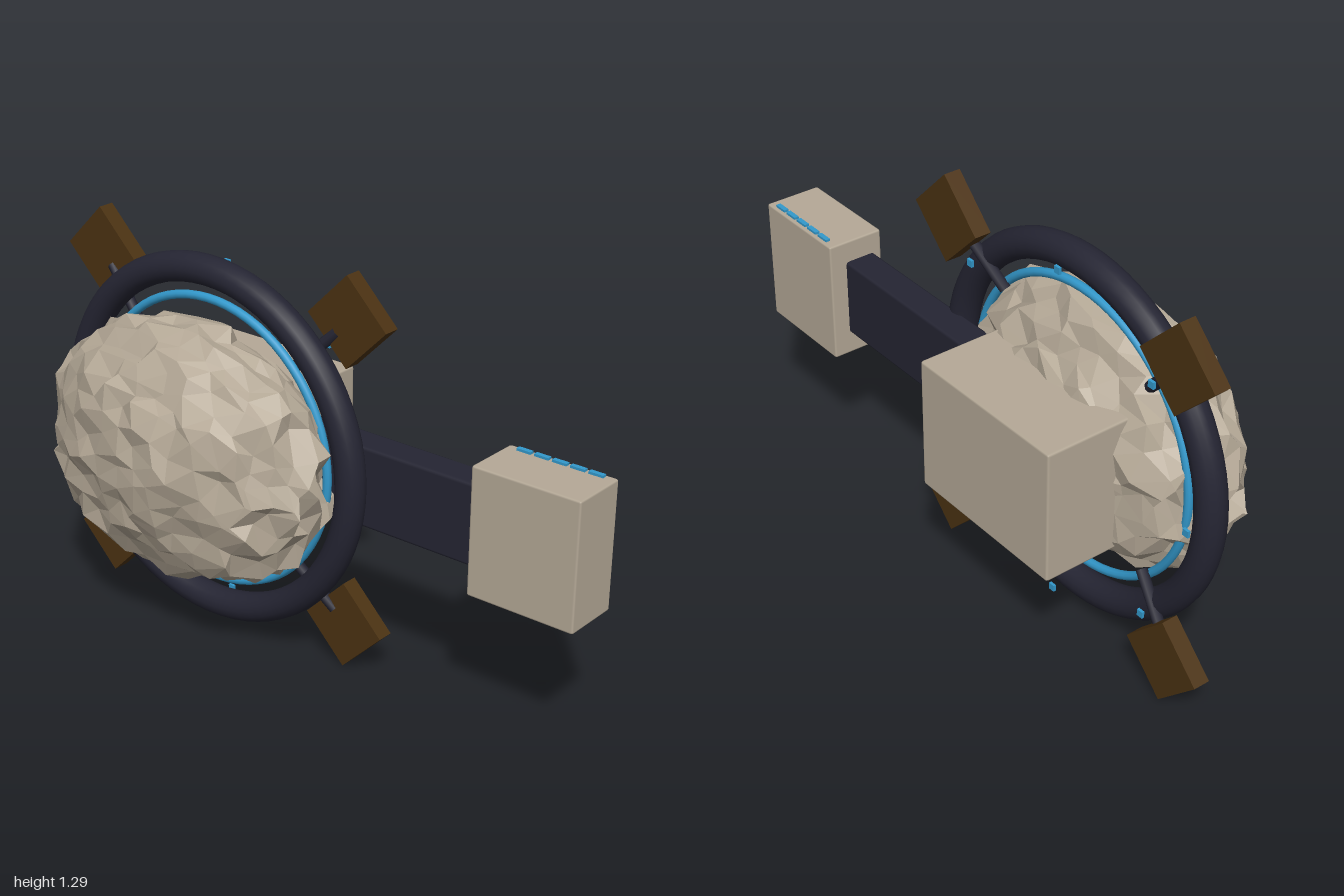
import * as THREE from 'three';
import { mergeVertices } from 'three/addons/utils/BufferGeometryUtils.js';
import { RoundedBoxGeometry } from 'three/addons/geometries/RoundedBoxGeometry.js';

const flat = (name, color) => new THREE.MeshStandardMaterial({ name, color });

// small seeded generator, returns -1..1
function seeded(seed) {
  return () => {
    seed = (Math.imul(seed, 1664525) + 1013904223) >>> 0;
    return (seed / 4294967296) * 2 - 1;
  };
}

// jagged faceted ellipsoid
function rockGeometry(rx, ry, rz) {
  const ico = new THREE.IcosahedronGeometry(1, 6);
  ico.deleteAttribute('normal');
  ico.deleteAttribute('uv');
  const geo = mergeVertices(ico, 1e-4);
  const pos = geo.attributes.position;
  const rand = seeded(77);
  const v = new THREE.Vector3();
  for (let i = 0; i < pos.count; i++) {
    v.fromBufferAttribute(pos, i);
    const lumps = 0.025 * Math.sin(4 * v.x + 1) * Math.cos(5 * v.y) + 0.02 * Math.sin(6 * v.z + 3 * v.y);
    const r = 0.965 + lumps + 0.06 * rand();
    v.set(v.x + 0.055 * rand(), v.y + 0.055 * rand(), v.z + 0.055 * rand()).normalize().multiplyScalar(r);
    pos.setXYZ(i, v.x * rx, v.y * ry, v.z * rz);
  }
  const faceted = geo.toNonIndexed();
  faceted.computeVertexNormals();
  return faceted;
}

export function createModel() {
  const stone = flat('stone', 0xb5a997);
  const dark = flat('dark metal', 0x252533);
  const brown = flat('brown panel', 0x4b3212);
  const blue = flat('blue light', 0x3399cc);

  const model = new THREE.Group();
  model.name = 'asteroidStation';
  const add = (parent, name, geo, mat, x = 0, y = 0, z = 0) => {
    const mesh = new THREE.Mesh(geo, mat);
    mesh.name = name;
    mesh.position.set(x, y, z);
    parent.add(mesh);
    return mesh;
  };

  // asteroid and the rings around it
  const hub = new THREE.Group();
  hub.name = 'asteroidHub';
  hub.position.set(-0.355, 0.646, 0);
  model.add(hub);
  add(hub, 'asteroid', rockGeometry(0.545, 0.425, 0.275), stone, 0, 0, 0.083);
  add(hub, 'outerRing', new THREE.TorusGeometry(0.56, 0.048, 16, 72), dark, 0, 0, -0.014);
  add(hub, 'lightRing', new THREE.TorusGeometry(0.471, 0.014, 10, 72), blue, 0, 0, -0.014);

  // four diagonal struts with square panels
  for (let i = 0; i < 4; i++) {
    const spoke = new THREE.Group();
    spoke.name = 'panelArm' + (i + 1);
    spoke.rotation.z = Math.PI / 4 + (i * Math.PI) / 2;
    hub.add(spoke);
    add(spoke, 'panel', new THREE.BoxGeometry(0.205, 0.205, 0.055), brown, 0.707, 0, -0.0875);
    const path = new THREE.LineCurve3(new THREE.Vector3(0.45, 0, -0.035), new THREE.Vector3(0.65, 0, -0.07));
    add(spoke, 'strut', new THREE.TubeGeometry(path, 1, 0.018, 8), dark);
  }

  // marker lights behind the outer ring
  for (let i = 0; i < 8; i++) {
    const a = (i * Math.PI) / 4;
    add(hub, 'markerLight', new THREE.BoxGeometry(0.022, 0.022, 0.009), blue,
      0.56 * Math.cos(a), 0.56 * Math.sin(a), -0.103);
  }

  // rear module, connecting boom and outboard module
  add(model, 'rearModule', new RoundedBoxGeometry(0.58, 0.436, 0.32, 1, 0.008), stone, -0.355, 0.646, -0.205);
  add(model, 'boom', new RoundedBoxGeometry(0.95, 0.262, 0.105, 1, 0.01), dark, 0.175, 0.65, -0.096);
  add(model, 'outboardModule', new RoundedBoxGeometry(0.362, 0.412, 0.192, 1, 0.007), stone, 0.814, 0.648, -0.111);

  // row of lights on top of the outboard module
  for (let i = 0; i < 5; i++) {
    add(model, 'moduleLight', new THREE.BoxGeometry(0.048, 0.009, 0.016), blue, 0.695 + i * 0.06, 0.857, -0.188);
  }
  return model;
}
